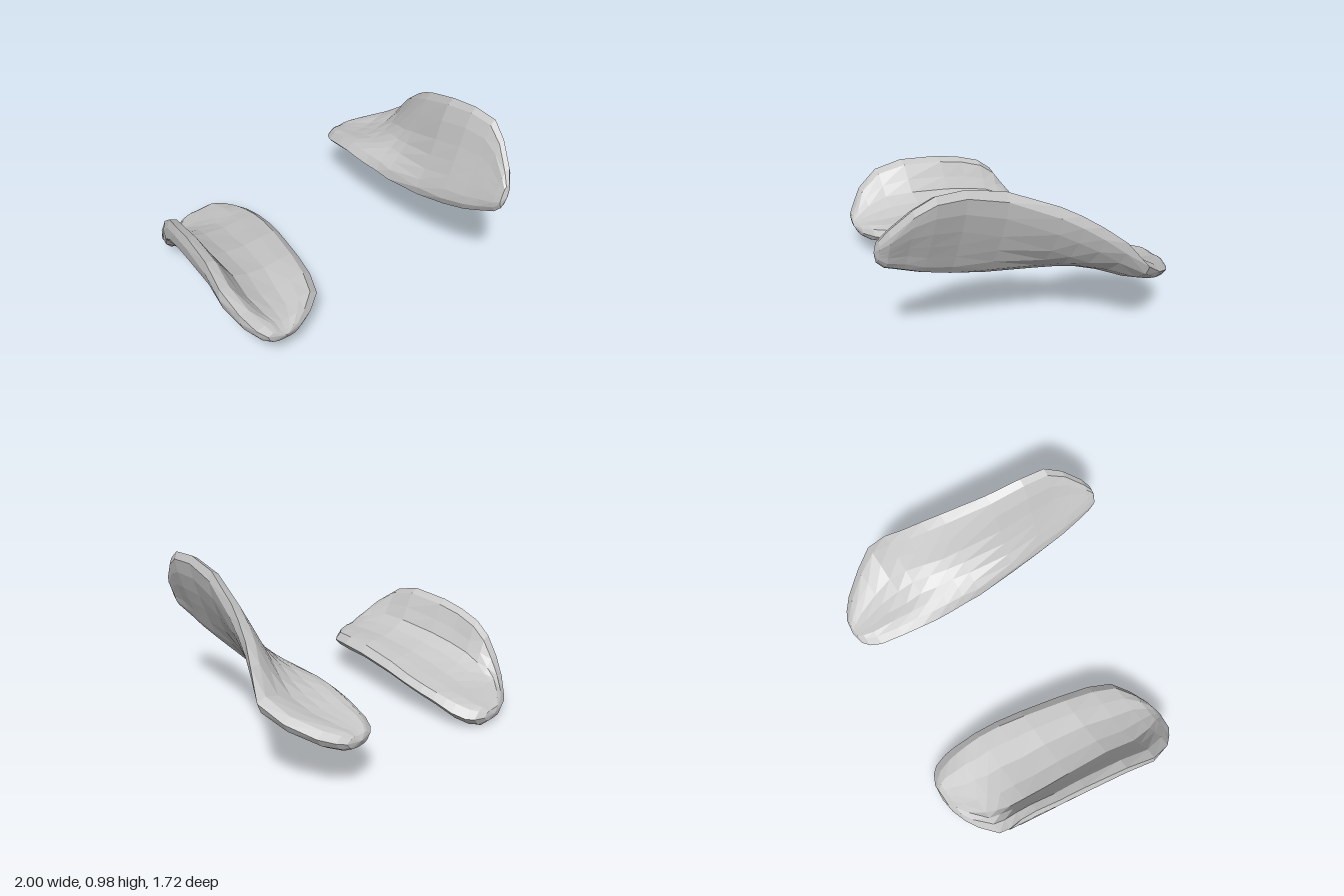
import * as THREE from 'three';

const shellGrey = new THREE.MeshStandardMaterial({ color: 0xc8c8c8, flatShading: true });
shellGrey.name = 'shellGrey';

// Section loop: a curved mid line thickened along its normals, with bevelled rims
function sectionLoop([z, h, pts], n = 6) {
  const curve = new THREE.SplineCurve(pts.map(([x, y]) => new THREE.Vector2(x, y)));
  const top = [], bottom = [], rims = [];
  for (let i = 0; i <= n; i++) {
    const t = i / n, p = curve.getPoint(t), d = curve.getTangent(t);
    const edge = i === 0 || i === n;
    const k = (h / 2) * (edge ? 0.72 : 1);
    top.push([p.x - d.y * k, p.y + d.x * k, z]);
    bottom.unshift([p.x + d.y * k, p.y - d.x * k, z]);
    if (edge) {
      const s = (i === 0 ? -1 : 1) * h * 0.4;
      rims.push([p.x + d.x * s, p.y + d.y * s, z]);
    }
  }
  return [rims[0], ...top, rims[1], ...bottom];
}

// Skin the sections from back to front and close both ends with low domes
function curvedPlate(name, stations, backZ, frontZ) {
  const loops = stations.map((s) => sectionLoop(s));
  const m = loops[0].length;
  const positions = loops.flat(2);
  const index = [];
  for (let k = 0; k < loops.length - 1; k++) {
    for (let i = 0; i < m; i++) {
      const j = (i + 1) % m;
      const a = k * m + i, b = k * m + j, c = b + m, d = a + m;
      index.push(a, d, c, a, c, b);
    }
  }
  const cap = (k, z, front) => {
    const centre = [0, 1].map((ax) => loops[k].reduce((sum, p) => sum + p[ax], 0) / m);
    const tip = positions.length / 3;
    positions.push(...centre, z);
    for (let i = 0; i < m; i++) {
      const a = k * m + i, b = k * m + ((i + 1) % m);
      index.push(tip, front ? b : a, front ? a : b);
    }
  };
  cap(0, backZ, false);
  cap(loops.length - 1, frontZ, true);
  let geo = new THREE.BufferGeometry();
  geo.setAttribute('position', new THREE.Float32BufferAttribute(positions, 3));
  geo.setIndex(index);
  geo = geo.toNonIndexed();
  geo.computeVertexNormals();
  const mesh = new THREE.Mesh(geo, shellGrey);
  mesh.name = name;
  return mesh;
}

export function createModel() {
  const group = new THREE.Group();
  group.name = 'curvedPlates';

  // Low plate with one long side curled up: [z, thickness, mid line]
  group.add(curvedPlate('curledPlate', [
    [-0.85, 0.06, [[-0.5, 0.065], [-0.46, 0.062], [-0.41, 0.062], [-0.36, 0.065]]],
    [-0.82, 0.11, [[-0.57, 0.065], [-0.48, 0.06], [-0.4, 0.06], [-0.32, 0.065]]],
    [-0.78, 0.12, [[-0.64, 0.065], [-0.53, 0.063], [-0.41, 0.063], [-0.29, 0.07]]],
    [-0.7, 0.12, [[-0.75, 0.115], [-0.66, 0.08], [-0.45, 0.078], [-0.27, 0.09]]],
    [-0.64, 0.11, [[-0.79, 0.21], [-0.7, 0.115], [-0.46, 0.095], [-0.265, 0.11]]],
    [-0.57, 0.1, [[-0.81, 0.32], [-0.74, 0.17], [-0.49, 0.115], [-0.265, 0.13]]],
    [-0.48, 0.1, [[-0.83, 0.39], [-0.76, 0.21], [-0.5, 0.14], [-0.27, 0.15]]],
    [-0.35, 0.1, [[-0.86, 0.43], [-0.78, 0.24], [-0.53, 0.165], [-0.29, 0.175]]],
    [-0.2, 0.11, [[-0.885, 0.455], [-0.8, 0.26], [-0.55, 0.19], [-0.33, 0.2]]],
    [0.05, 0.115, [[-0.93, 0.465], [-0.83, 0.28], [-0.6, 0.21], [-0.4, 0.222]]],
    [0.22, 0.115, [[-0.965, 0.42], [-0.865, 0.27], [-0.65, 0.2], [-0.45, 0.22]]],
    [0.35, 0.11, [[-0.94, 0.33], [-0.85, 0.235], [-0.68, 0.19], [-0.51, 0.205]]],
    [0.42, 0.1, [[-0.89, 0.25], [-0.82, 0.205], [-0.72, 0.185], [-0.61, 0.19]]],
    [0.46, 0.06, [[-0.86, 0.22], [-0.81, 0.195], [-0.75, 0.185], [-0.69, 0.185]]],
  ], -0.86, 0.48));

  // High plate twisting from flat at the back to upright at the front
  group.add(curvedPlate('twistedPlate', [
    [-0.74, 0.06, [[0.61, 0.305], [0.65, 0.3], [0.69, 0.3], [0.74, 0.31]]],
    [-0.71, 0.09, [[0.58, 0.31], [0.63, 0.305], [0.7, 0.305], [0.775, 0.32]]],
    [-0.65, 0.1, [[0.545, 0.325], [0.62, 0.318], [0.73, 0.32], [0.835, 0.345]]],
    [-0.52, 0.1, [[0.505, 0.36], [0.62, 0.35], [0.77, 0.36], [0.92, 0.41]]],
    [-0.4, 0.11, [[0.48, 0.385], [0.6, 0.38], [0.79, 0.41], [0.965, 0.49]]],
    [-0.3, 0.115, [[0.465, 0.395], [0.6, 0.41], [0.77, 0.47], [0.91, 0.61]]],
    [-0.2, 0.12, [[0.46, 0.4], [0.58, 0.435], [0.73, 0.52], [0.845, 0.685]]],
    [-0.1, 0.12, [[0.455, 0.405], [0.57, 0.455], [0.69, 0.56], [0.795, 0.75]]],
    [0, 0.115, [[0.445, 0.405], [0.55, 0.475], [0.66, 0.605], [0.75, 0.805]]],
    [0.25, 0.1, [[0.435, 0.425], [0.505, 0.53], [0.585, 0.705], [0.655, 0.91]]],
    [0.45, 0.085, [[0.425, 0.465], [0.48, 0.595], [0.55, 0.765], [0.615, 0.955]]],
    [0.6, 0.08, [[0.42, 0.51], [0.465, 0.62], [0.535, 0.78], [0.595, 0.95]]],
    [0.7, 0.07, [[0.42, 0.55], [0.455, 0.65], [0.51, 0.77], [0.555, 0.89]]],
    [0.8, 0.07, [[0.425, 0.595], [0.445, 0.66], [0.47, 0.72], [0.495, 0.785]]],
    [0.84, 0.05, [[0.425, 0.63], [0.435, 0.665], [0.445, 0.695], [0.46, 0.73]]],
  ], -0.755, 0.857));

  return group;
}
